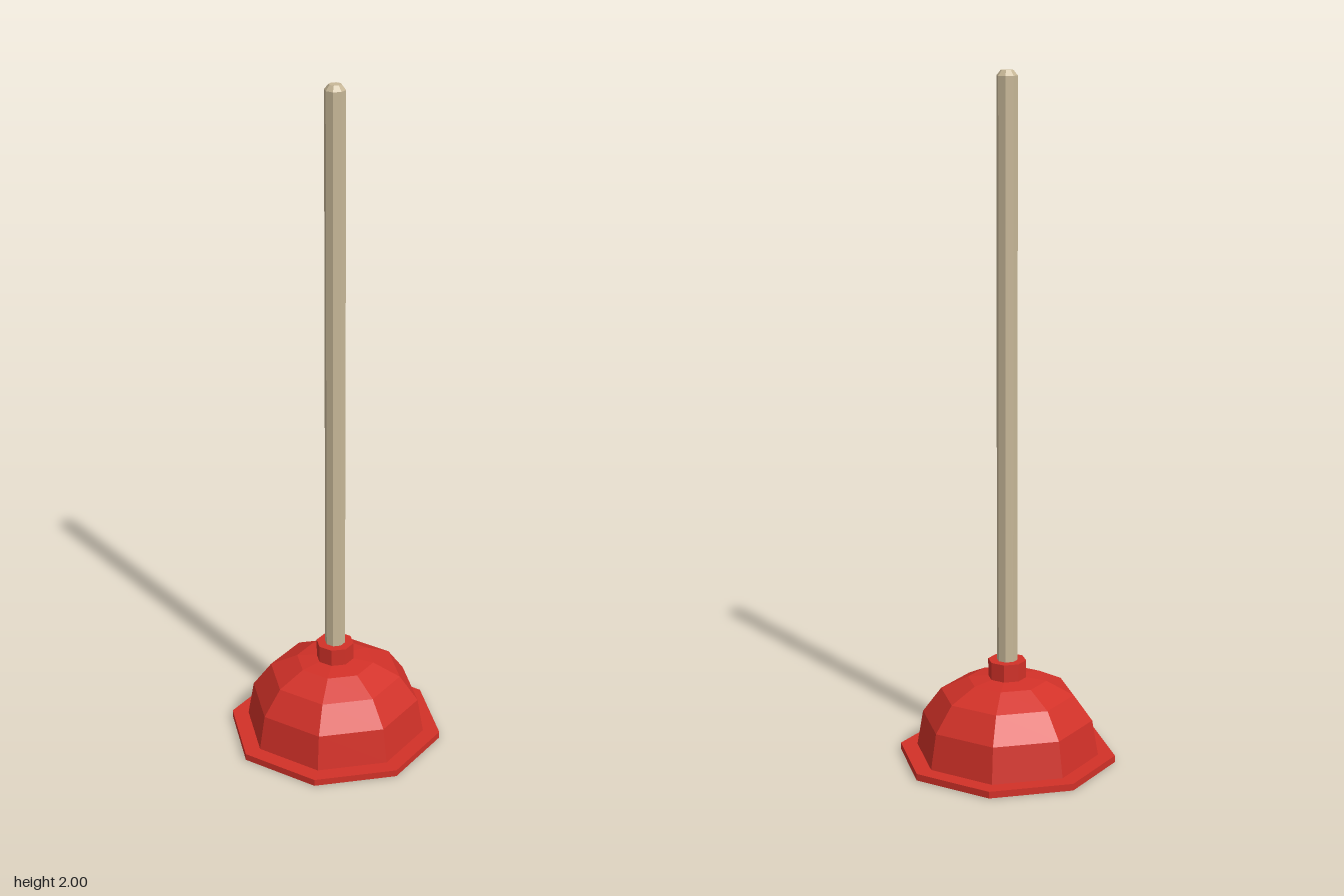
import * as THREE from 'three';

const SIDES = 8;
const rubber = new THREE.MeshStandardMaterial({ color: 0xd23128, flatShading: true });
const wood = new THREE.MeshStandardMaterial({ color: 0xc8b898, flatShading: true });

// Eight-sided turned part from [radius, height] pairs
function turned(name, profile, material) {
  const points = profile.map(([r, y]) => new THREE.Vector2(r, y));
  const mesh = new THREE.Mesh(new THREE.LatheGeometry(points, SIDES), material);
  mesh.name = name;
  return mesh;
}

export function createModel() {
  const group = new THREE.Group();
  group.name = 'plunger';

  // Hollow rubber cup: inner dome, flat underside, flange, outer dome
  group.add(turned('cup', [
    [0, 0.22], [0.1, 0.215], [0.175, 0.175], [0.225, 0.11], [0.24, 0.02], [0.24, 0],
    [0.32, 0], [0.32, 0.02], [0.27, 0.02],
    [0.252, 0.125], [0.197, 0.2], [0.116, 0.24], [0, 0.255],
  ], rubber));

  // Collar gripping the handle
  group.add(turned('collar', [[0.056, 0.24], [0.056, 0.3], [0, 0.3]], rubber));

  // Wooden handle with a chamfered top
  group.add(turned('handle', [[0, 0.25], [0.03, 0.25], [0.03, 1.985], [0.018, 2], [0, 2]], wood));

  return group;
}
